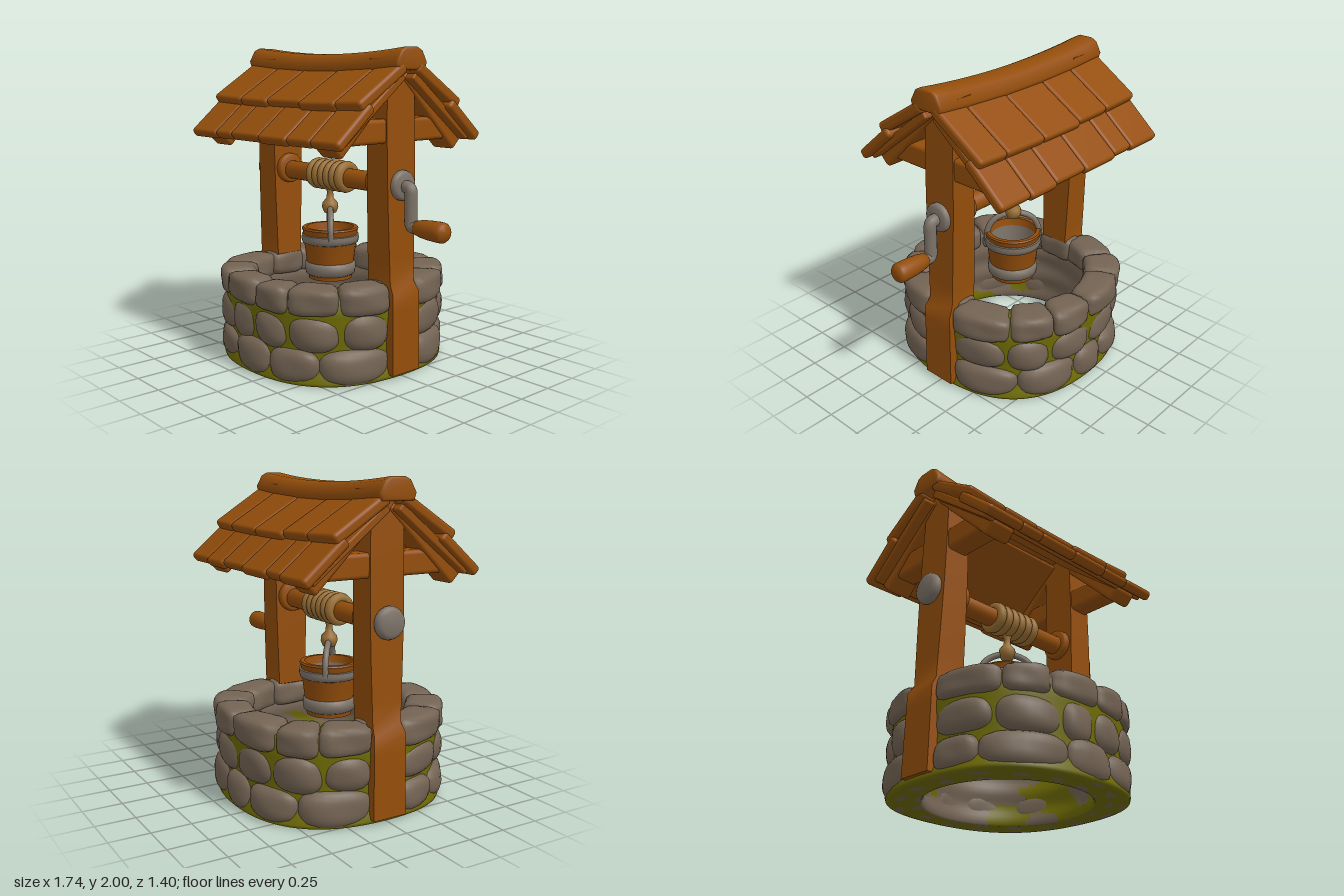
import * as THREE from 'three';
import { toCreasedNormals } from 'three/addons/utils/BufferGeometryUtils.js';
import { RoundedBoxGeometry } from 'three/addons/geometries/RoundedBoxGeometry.js';

const CX = -0.135; // centre line of the well
const V2 = (x, y) => new THREE.Vector2(x, y);
const V3 = (x, y, z) => new THREE.Vector3(x, y, z);

export function createModel() {
  const mat = (name, color) => new THREE.MeshStandardMaterial({ name, color });
  const wood = mat('wood', 0x944e0b);
  const stone = mat('stone', 0x736353);
  const moss = mat('moss', 0x6e6a03);
  const metal = mat('metal', 0x7d7368);
  const rope = mat('rope', 0x9a6f34);

  let seed = 7;
  const rand = () => (seed = (seed * 16807) % 2147483647) / 2147483647;
  const jitter = (a) => (rand() * 2 - 1) * a;

  const root = new THREE.Group();
  root.name = 'well';
  const group = (name) => {
    const g = new THREE.Group();
    g.name = name;
    root.add(g);
    return g;
  };
  const add = (parent, name, geo, material, x = 0, y = 0, z = 0) => {
    const m = new THREE.Mesh(geo, material);
    m.name = name;
    m.position.set(x, y, z);
    parent.add(m);
    return m;
  };
  const warp = (geo, fn) => {
    const p = geo.attributes.position, v = new THREE.Vector3();
    for (let i = 0; i < p.count; i++) {
      fn(v.fromBufferAttribute(p, i));
      p.setXYZ(i, v.x, v.y, v.z);
    }
    return geo;
  };
  // Creased at a large scale, so that fine bevels stay distinct
  const creased = (geo, angle) =>
    toCreasedNormals(geo.scale(100, 100, 100), angle).scale(0.01, 0.01, 0.01);
  const lathe = (pts, seg = 32, angle = 0.7) =>
    creased(new THREE.LatheGeometry(pts.map((p) => V2(...p)), seg), angle);
  // Rounded disc or rod lying along x
  const rod = (x0, x1, r, b = 0.015) => lathe([
    [0, x0], [r - b, x0], [r - b * 0.3, x0 + b * 0.3], [r, x0 + b],
    [r, x1 - b], [r - b * 0.3, x1 - b * 0.3], [r - b, x1], [0, x1],
  ], 24, 1).rotateZ(-Math.PI / 2);

  // ---- Stone wall ----
  const wall = group('stoneWall');

  // The outside of the wall is a slightly squared circle, the inside is round
  const squared = (r, a) =>
    r * (1 + 0.032 * (1 - Math.cos(4 * a)) * THREE.MathUtils.clamp((r - 0.5) / 0.17, 0, 1));

  // Rounded stone bent around the wall axis
  const stoneGeo = (t, dt, y, h, r, dr, p) => {
    const k = rand() * 6;
    const g = warp(new THREE.SphereGeometry(1, 24, 16), (v) => {
      const s = (Math.abs(v.x) ** p + Math.abs(v.y) ** p + Math.abs(v.z) ** p) ** (-1 / p);
      const a = t + v.x * s * dt;
      const yy = y + v.y * s * h * (1 + 0.05 * Math.sin(v.x * 2 + k));
      const rr = squared(r + v.z * s * dr + 0.006 * Math.sin(v.x * 3 + v.y * 2 + k), a);
      v.set(CX + rr * Math.sin(a), Math.max(yy, 0.012), rr * Math.cos(a));
    });
    g.computeVertexNormals();
    return g;
  };

  // Mossy core ring with bare patches on the inside and underneath
  const prof = [[0.65, 0], [0.67, 0.006], [0.675, 0.025], [0.66, 0.06], [0.645, 0.12], [0.645, 0.25],
    [0.66, 0.42], [0.655, 0.54], [0.6, 0.575], [0.53, 0.57]];
  for (let i = 0; i <= 20; i++) prof.push([0.508 + 0.008 * Math.sin(i * 0.9), 0.54 - i * 0.0265]);
  for (let i = 0; i <= 5; i++) prof.push([0.51 + i * 0.028, 0]);
  const core = warp(new THREE.LatheGeometry(prof.map((p) => V2(...p)), 96), (v) => {
    const a = Math.atan2(v.x, v.z), r = squared(Math.hypot(v.x, v.z), a);
    v.set(r * Math.sin(a), v.y, r * Math.cos(a));
  });
  core.computeVertexNormals();
  const pos = core.attributes.position, bare = [], mossy = [];
  for (let i = 0; i < core.index.count; i += 3) {
    const tri = [0, 1, 2].map((k) => core.index.getX(i + k));
    const c = V3(0, 0, 0);
    tri.forEach((j) => c.add(V3().fromBufferAttribute(pos, j)));
    c.divideScalar(3);
    const a = Math.atan2(c.x, c.z), r = Math.hypot(c.x, c.z);
    const n = Math.sin(a * 4 + 3 * Math.sin(c.y * 9)) + Math.sin(a * 7 - c.y * 14 + 1);
    const isBare = c.y < 0.002 ? Math.sin(a * 17) + Math.sin(r * 60 + a * 5) > 1.0
      : r < 0.56 && (c.y > 0.31 + 0.06 * Math.sin(a * 5) || n > 1.5 * Math.sin(a + 0.6) - 0.4);
    (isBare ? bare : mossy).push(...tri);
  }
  core.setIndex([...mossy, ...bare]);
  core.clearGroups();
  core.addGroup(0, mossy.length, 0);
  core.addGroup(mossy.length, bare.length, 1);
  add(wall, 'mossyCore', core, [moss, stone], CX, 0, 0);

  // Three courses of stones, leaving a slot for each post
  const rows = [
    { name: 'lowerStone', n: 5, y: 0.115, h: 0.11, r: 0.6, dr: 0.093, p: 2.9, over: 1.06 },
    { name: 'middleStone', n: 6, y: 0.32, h: 0.118, r: 0.6, dr: 0.084, p: 2.6, over: 1.07 },
    { name: 'rimStone', n: 6, y: 0.514, h: 0.088, r: 0.592, dr: 0.1, p: 5, over: 1.01 },
  ];
  const slot = 0.15;
  for (const row of rows) for (const side of [0, Math.PI]) {
    const w = Array.from({ length: row.n }, () => 1 + jitter(0.28));
    const unit = (Math.PI - 2 * slot) / w.reduce((a, b) => a + b);
    let t = side - Math.PI / 2 + slot;
    for (const k of w) {
      const d = (k * unit) / 2;
      add(wall, row.name, stoneGeo(t + d, d * row.over, row.y + jitter(0.005),
        row.h * (1 + jitter(row.p > 4 ? 0.02 : 0.08)), row.r, row.dr, row.p), stone);
      t += 2 * d;
    }
  }
  for (const s of [-1, 1]) // blocks behind the posts
    add(wall, 'postSeatStone', stoneGeo(s * Math.PI / 2, 0.27, 0.52, 0.087, 0.535, 0.08, 4), stone);

  // ---- Posts, tie beams and rafters ----
  const frame = group('timberFrame');
  const board = (w, t, a, b, round) => {
    const dz = b[0] - a[0], dy = b[1] - a[1];
    return new RoundedBoxGeometry(w, t, Math.hypot(dz, dy), 3, round)
      .rotateX(-Math.atan2(dy, dz))
      .translate(0, (a[1] + b[1]) / 2, (a[0] + b[0]) / 2);
  };
  for (const s of [-1, 1]) {
    // The foot stands proud of the wall, the upper part rises from the rim
    const post = warp(new THREE.BoxGeometry(2, 1.9, 2, 1, 19, 1), (v) => {
      const level = v.y + 0.98, foot = level < 0.58;
      const y = Math.abs(level - 0.63) < 0.02 ? 0.59 : level;
      const out = foot ? 0.7 - 0.015 * y : 0.655 - 0.022 * (y - 0.6);
      const inner = foot ? 0.56 : 0.455 + 0.007 * Math.min(y, 1.4);
      const half = foot ? 0.113 - 0.006 * y : 0.102 + 0.014 * Math.sin((y - 0.7) * 2.3);
      v.set(CX + s * (v.x > 0 ? out : inner), y, s * v.z * half);
    });
    add(frame, 'post', creased(post, 0.6), wood);
    const x = CX + s * 0.55;
    add(frame, 'tieBeam', new RoundedBoxGeometry(0.15, 0.145, 0.8, 3, 0.025), wood, x, 1.51, 0);
    for (const f of [-1, 1])
      add(frame, 'rafter', board(0.175, 0.105, [0.04 * f, 1.855], [0.5 * f, 1.4], 0.025), wood, x);
  }

  // ---- Roof ----
  const roof = group('roof');
  const sag = (g) => warp(g, (v) => {
    const u = Math.min(1, Math.abs(v.x - CX) / 0.72);
    v.y -= 0.042 * (1 - u * u) * Math.max(0, (v.y - 1.45) / 0.55);
  });
  const ridge = new THREE.Shape([[-0.1, 1.88], [0.1, 1.88], [0.11, 1.91], [0.075, 1.972],
    [0.045, 1.987], [-0.045, 1.987], [-0.075, 1.972], [-0.11, 1.91]].map((p) => V2(...p)));
  const ridgeGeo = new THREE.ExtrudeGeometry(ridge, { depth: 1.42, steps: 16, bevelSize: 0.013,
    bevelThickness: 0.02, bevelSegments: 3 }).rotateY(Math.PI / 2).translate(CX - 0.715, 0, 0);
  add(roof, 'ridgeCap', creased(sag(ridgeGeo), 1.25), wood);

  const courses = [
    { name: 'upperShingle', a: [0.05, 1.889], b: [0.405, 1.662], cuts: [-0.855, -0.565, -0.29, 0.045, 0.37, 0.59] },
    { name: 'lowerShingle', a: [0.32, 1.668], b: [0.58, 1.444], cuts: [-0.86, -0.59, -0.42, -0.13, 0.14, 0.36, 0.605] },
  ];
  for (const f of [-1, 1]) {
    for (const c of courses) for (let i = 0; i + 1 < c.cuts.length; i++) {
      const x0 = c.cuts[i], x1 = c.cuts[i + 1], k = jitter(0.008);
      const g = board(x1 - x0 + 0.006, 0.068 + jitter(0.004), [c.a[0] * f, c.a[1]],
        [(c.b[0] + k) * f, c.b[1] - k * 0.8], 0.024).translate((x0 + x1) / 2, 0, 0);
      add(roof, c.name, sag(g), wood);
    }
    add(roof, 'roofBoard', board(1.4, 0.05, [0.04 * f, 1.835], [0.53 * f, 1.447], 0.012), wood, CX);
  }

  // ---- Windlass and crank ----
  const winch = group('windlass');
  const AY = 1.18;
  add(winch, 'axle', rod(-0.78, 0.5, 0.062), wood, 0, AY);
  add(winch, 'innerCollar', rod(-0.61, -0.553, 0.1), wood, 0, AY + 0.01);
  add(winch, 'innerCollar', rod(0.283, 0.34, 0.1), wood, 0, AY + 0.01);
  add(winch, 'axleCap', rod(-0.833, -0.76, 0.098, 0.03), metal, 0, AY + 0.005);
  add(winch, 'crankCollar', rod(0.48, 0.543, 0.092, 0.02), metal, 0, AY + 0.005);
  const crank = new THREE.CurvePath();
  const P = [V3(0.5, AY, 0), V3(0.555, AY, 0), V3(0.588, AY, 0), V3(0.588, AY - 0.04, 0),
    V3(0.588, 0.98, 0), V3(0.588, 0.945, 0), V3(0.61, 0.945, 0), V3(0.66, 0.945, 0)];
  crank.add(new THREE.LineCurve3(P[0], P[1]));
  crank.add(new THREE.QuadraticBezierCurve3(P[1], P[2], P[3]));
  crank.add(new THREE.LineCurve3(P[3], P[4]));
  crank.add(new THREE.QuadraticBezierCurve3(P[4], P[5], P[6]));
  crank.add(new THREE.LineCurve3(P[6], P[7]));
  add(winch, 'crankArm', new THREE.TubeGeometry(crank, 60, 0.039, 14), metal);
  add(winch, 'crankGrip', lathe([[0, 0.632], [0.036, 0.632], [0.044, 0.642], [0.054, 0.69], [0.059, 0.74],
    [0.062, 0.82], [0.06, 0.85], [0.05, 0.865], [0, 0.87]], 24, 1).rotateZ(-Math.PI / 2), wood, 0, 0.945);

  // ---- Rope ----
  const cord = group('rope');
  const BX = -0.153;
  for (let i = 0; i < 6; i++)
    add(cord, 'ropeCoil', new THREE.TorusGeometry(0.071, 0.032, 10, 28).rotateY(Math.PI / 2 + 0.06),
      rope, -0.27 + i * 0.056, AY + 0.005);
  add(cord, 'hangingRope', lathe([[0, 0.925], [0.04, 0.935], [0.054, 0.97], [0.05, 1.0], [0.024, 1.03],
    [0.02, 1.07], [0.035, 1.11]], 16, 2), rope, BX);

  // ---- Bucket ----
  const bucket = group('bucket');
  add(bucket, 'staves', lathe([[0, 0.5], [0.142, 0.5], [0.182, 0.82], [0.187, 0.832], [0.18, 0.842],
    [0.155, 0.842], [0.147, 0.79]]), wood, BX);
  add(bucket, 'lining', lathe([[0.147, 0.792], [0.125, 0.56], [0, 0.56]]), metal, BX);
  const band = (r, y, h) => [[r - 0.025, y - h], [r, y - h * 0.7], [r + 0.006, y], [r + 0.004, y + h * 0.7], [r - 0.02, y + h]];
  add(bucket, 'upperBand', lathe(band(0.184, 0.768, 0.036), 32, 1), metal, BX);
  add(bucket, 'lowerBand', lathe(band(0.162, 0.57, 0.05), 32, 1), metal, BX);
  const bail = new THREE.CatmullRomCurve3([[-0.175, 0.77], [-0.172, 0.84], [-0.135, 0.915], [-0.07, 0.955],
    [0, 0.967], [0.07, 0.955], [0.135, 0.915], [0.172, 0.84], [0.175, 0.77]].map(([x, y]) => V3(x, y, 0)));
  add(bucket, 'bail', new THREE.TubeGeometry(bail, 40, 0.02, 10), metal, BX).rotation.y = -0.68;

  return root;
}
